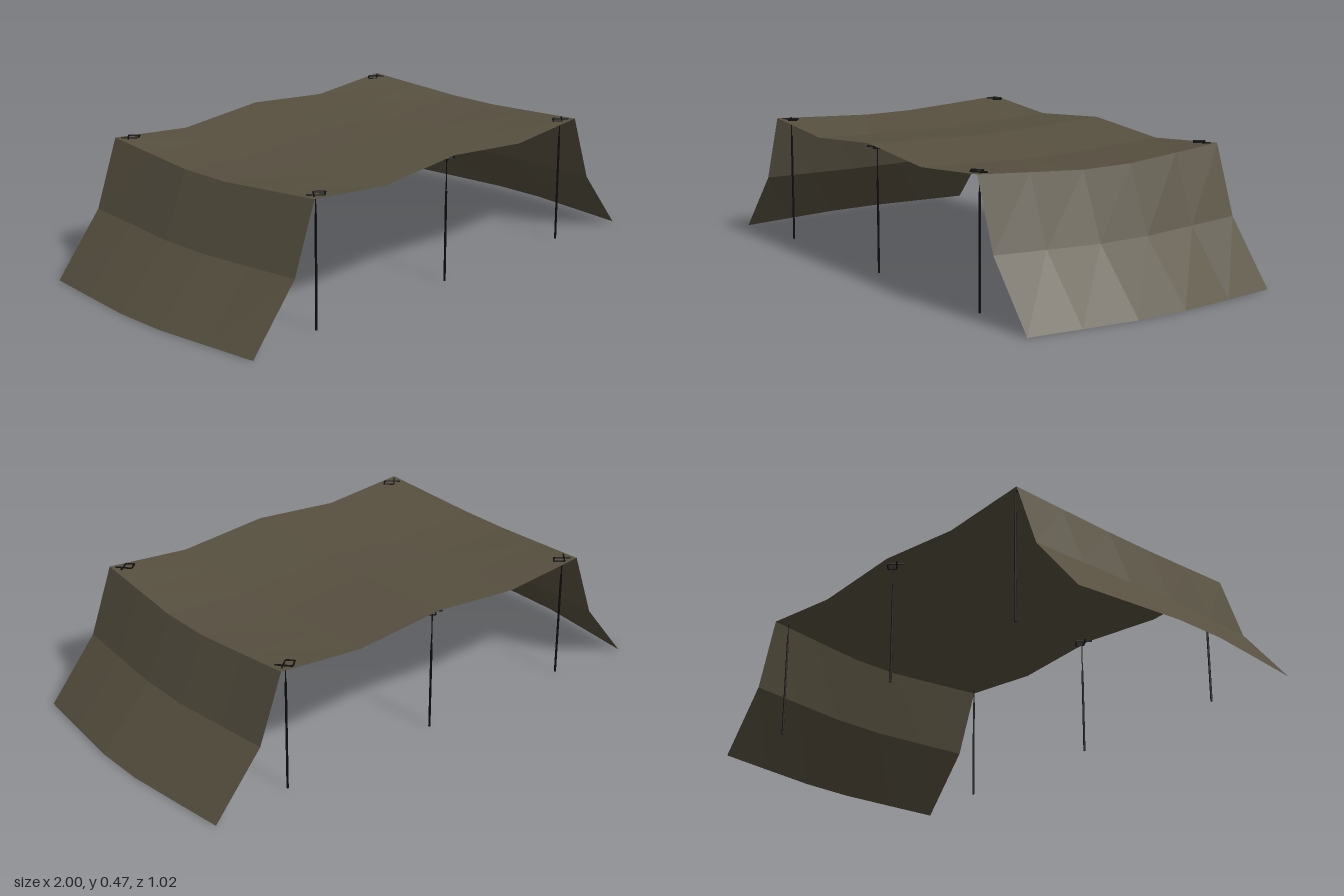
import * as THREE from 'three';

const canvasMat = new THREE.MeshStandardMaterial({ color: 0x575040, side: THREE.DoubleSide });
canvasMat.name = 'olive canvas';
const blackMat = new THREE.MeshStandardMaterial({ color: 0x0c0c0c });
blackMat.name = 'black metal and cord';

// Ridge lines across the tarp: edge x, edge y, outward bow and sag at mid depth
const ridges = [
  [0.955, 0, 0.045, 0],
  [0.77, 0.225, 0.028, -0.012],
  [0.68, 0.472, 0.022, -0.026],
  [0.35, 0.443, 0, -0.016],
  [0, 0.474, 0, -0.016],
];
const depths = [-0.51, -0.31, -0.1, 0.1, 0.31, 0.51];
const bowAt = [0, 0.5, 1, 1, 0.5, 0];

function makeCanopy() {
  const lines = [
    ...ridges.map(([x, y, bow, sag]) => [-x, y, -bow, sag]),
    ...ridges.slice(0, -1).reverse(),
  ];
  const positions = [];
  const index = [];
  const n = depths.length;
  lines.forEach(([x, y, bow, sag], i) => {
    depths.forEach((z, j) => {
      positions.push(x + bow * bowAt[j], y + sag * bowAt[j], z);
      if (i < lines.length - 1 && j < n - 1) {
        const a = i * n + j;
        index.push(a, a + 1, a + n + 1, a, a + n + 1, a + n);
      }
    });
  });
  const indexed = new THREE.BufferGeometry();
  indexed.setAttribute('position', new THREE.Float32BufferAttribute(positions, 3));
  indexed.setIndex(index);
  const geo = indexed.toNonIndexed(); // faceted cloth
  geo.computeVertexNormals();
  const mesh = new THREE.Mesh(geo, canvasMat);
  mesh.name = 'canopy';
  return mesh;
}

// Telescopic pole: thick lower tube, thin upper rod
function makePole(x, z, split, top) {
  const pole = new THREE.Group();
  pole.name = 'pole';
  for (const [name, r, y0, y1] of [['lowerTube', 0.004, 0, split], ['upperRod', 0.002, split, top]]) {
    const part = new THREE.Mesh(new THREE.CylinderGeometry(r, r, y1 - y0, 8), blackMat);
    part.position.y = (y0 + y1) / 2;
    part.name = name;
    pole.add(part);
  }
  pole.position.set(x, 0, z);
  return pole;
}

// Tie cord: a diamond loop with two crossed tails
function makeTie(x, y, z, flip) {
  const points = [[-0.034, 0.022], [0.006, -0.024], [0.036, 0.003], [0.012, 0.024], [-0.034, -0.015]]
    .map(([px, pz]) => new THREE.Vector3(px * flip, 0, pz));
  const path = new THREE.CurvePath();
  for (let i = 0; i < points.length - 1; i++) path.add(new THREE.LineCurve3(points[i], points[i + 1]));
  const tie = new THREE.Mesh(new THREE.TubeGeometry(path, 32, 0.003, 5, false), blackMat);
  tie.position.set(x, y, z);
  tie.name = 'tieCord';
  return tie;
}

export function createModel() {
  const model = new THREE.Group();
  model.name = 'tarpShelter';
  model.add(makeCanopy());
  for (const z of [-0.478, 0.472]) {
    for (const x of [-0.638, 0, 0.638]) {
      const middle = x === 0;
      model.add(makePole(x, z, middle ? 0.335 : 0.405, 0.465));
      // Corner ties lie on the cloth, middle ties hang just under it
      if (middle) model.add(makeTie(0, 0.457, z, 1));
      else model.add(makeTie(x * 0.99, 0.471, z, -Math.sign(x)));
    }
  }
  return model;
}
